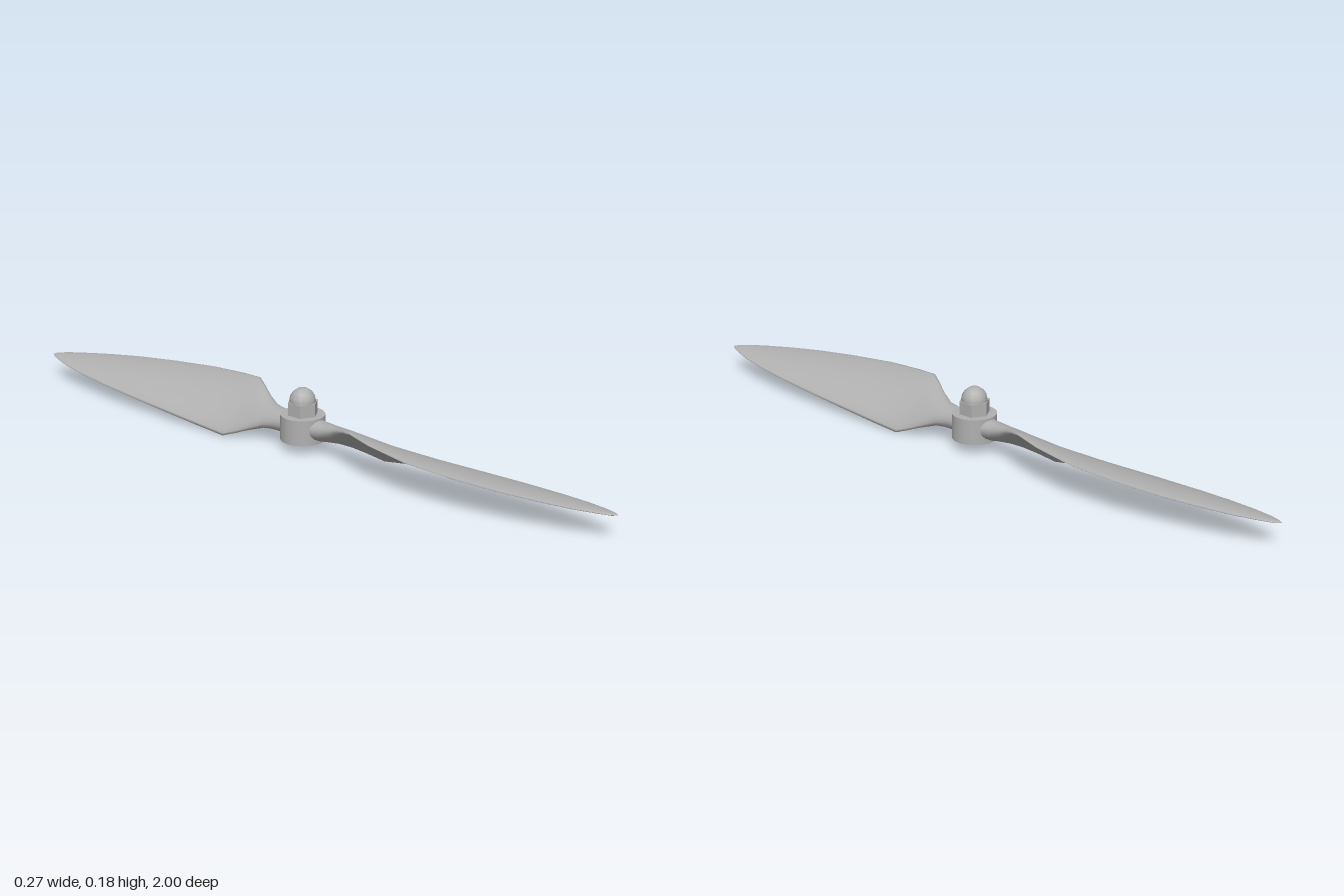
import * as THREE from 'three';

const metal = new THREE.MeshStandardMaterial({ color: 0xb0b0b0 });
metal.name = 'grey metal';

// Blade sections: z, leading edge x y, trailing edge x y, half thickness, camber
const SECTIONS = [
  [0.04, -0.035, 0.08, 0.035, 0.056, 0.031, 0],
  [0.08, -0.033, 0.083, 0.032, 0.053, 0.028, 0],
  [0.12, -0.036, 0.092, 0.032, 0.045, 0.023, 0.002],
  [0.16, -0.053, 0.106, 0.042, 0.03, 0.018, 0.006],
  [0.2, -0.077, 0.12, 0.055, 0.014, 0.014, 0.01],
  [0.24, -0.1, 0.131, 0.067, 0.0, 0.011, 0.014],
  [0.32, -0.12, 0.122, 0.073, 0.01, 0.01, 0.016],
  [0.45, -0.135, 0.11, 0.078, 0.025, 0.009, 0.016],
  [0.6, -0.126, 0.099, 0.076, 0.039, 0.008, 0.013],
  [0.72, -0.107, 0.091, 0.068, 0.048, 0.007, 0.01],
  [0.82, -0.082, 0.084, 0.056, 0.055, 0.006, 0.007],
  [0.9, -0.056, 0.078, 0.041, 0.061, 0.005, 0.004],
  [0.96, -0.031, 0.074, 0.023, 0.066, 0.004, 0.002],
  [0.99, -0.014, 0.071, 0.01, 0.068, 0.003, 0.001],
  [1.0, -0.002, 0.07, 0.002, 0.069, 0.001, 0],
];

// Loft a twisted, cambered blade along +z
function bladeGeometry() {
  const n = 20, pos = [], idx = [];
  for (const [z, lx, ly, tx, ty, thick, camber] of SECTIONS) {
    const mx = (lx + tx) / 2, my = (ly + ty) / 2;
    const dx = (tx - lx) / 2, dy = (ty - ly) / 2, len = Math.hypot(dx, dy);
    for (let j = 0; j < n; j++) {
      const a = (j / n) * Math.PI * 2, u = Math.cos(a);
      const v = Math.sin(a) * thick + camber * (1 - u * u);
      pos.push(mx + dx * u - (dy / len) * v, my + dy * u + (dx / len) * v, z);
    }
  }
  for (let i = 0; i < SECTIONS.length - 1; i++) {
    for (let j = 0; j < n; j++) {
      const a = i * n + j, b = i * n + ((j + 1) % n);
      idx.push(a, b, a + n, b, b + n, a + n);
    }
  }
  // Close the tip
  const tip = (SECTIONS.length - 1) * n;
  for (let j = 1; j < n - 1; j++) idx.push(tip, tip + j, tip + j + 1);
  const g = new THREE.BufferGeometry();
  g.setAttribute('position', new THREE.Float32BufferAttribute(pos, 3));
  g.setIndex(idx);
  g.computeVertexNormals();
  return g;
}

export function createModel() {
  const group = new THREE.Group();
  group.name = 'propeller';
  const add = (name, geometry, y = 0) => {
    const mesh = new THREE.Mesh(geometry, metal);
    mesh.name = name;
    mesh.position.y = y;
    group.add(mesh);
    return mesh;
  };

  // Two blades, half a turn apart
  const blade = bladeGeometry();
  add('frontBlade', blade);
  add('backBlade', blade).rotation.y = Math.PI;

  // Hub ring with a shaft hole, extruded for crisp rims
  const ring = new THREE.Shape().absarc(0, 0, 0.063, 0, Math.PI * 2);
  ring.holes.push(new THREE.Path().absarc(0, 0, 0.028, 0, Math.PI * 2, true));
  const hub = new THREE.ExtrudeGeometry(ring, { depth: 0.073, bevelEnabled: false, curveSegments: 32 });
  hub.rotateX(-Math.PI / 2);
  add('hub', hub, 0.03);

  // Hexagonal nut, open below over the shaft hole
  const hex = new THREE.CylinderGeometry(0.044, 0.044, 0.038, 6, 1, true).toNonIndexed();
  hex.computeVertexNormals();
  add('nut', hex, 0.121);
  const top = new THREE.CircleGeometry(0.044, 6, Math.PI / 2);
  top.rotateX(-Math.PI / 2);
  add('nutTop', top, 0.14);

  // Rounded cap on the nut
  const dome = new THREE.SphereGeometry(0.038, 12, 4, 0, Math.PI * 2, 0, Math.PI / 2);
  dome.scale(1, 1.05, 1);
  add('domeCap', dome, 0.14);

  return group;
}
